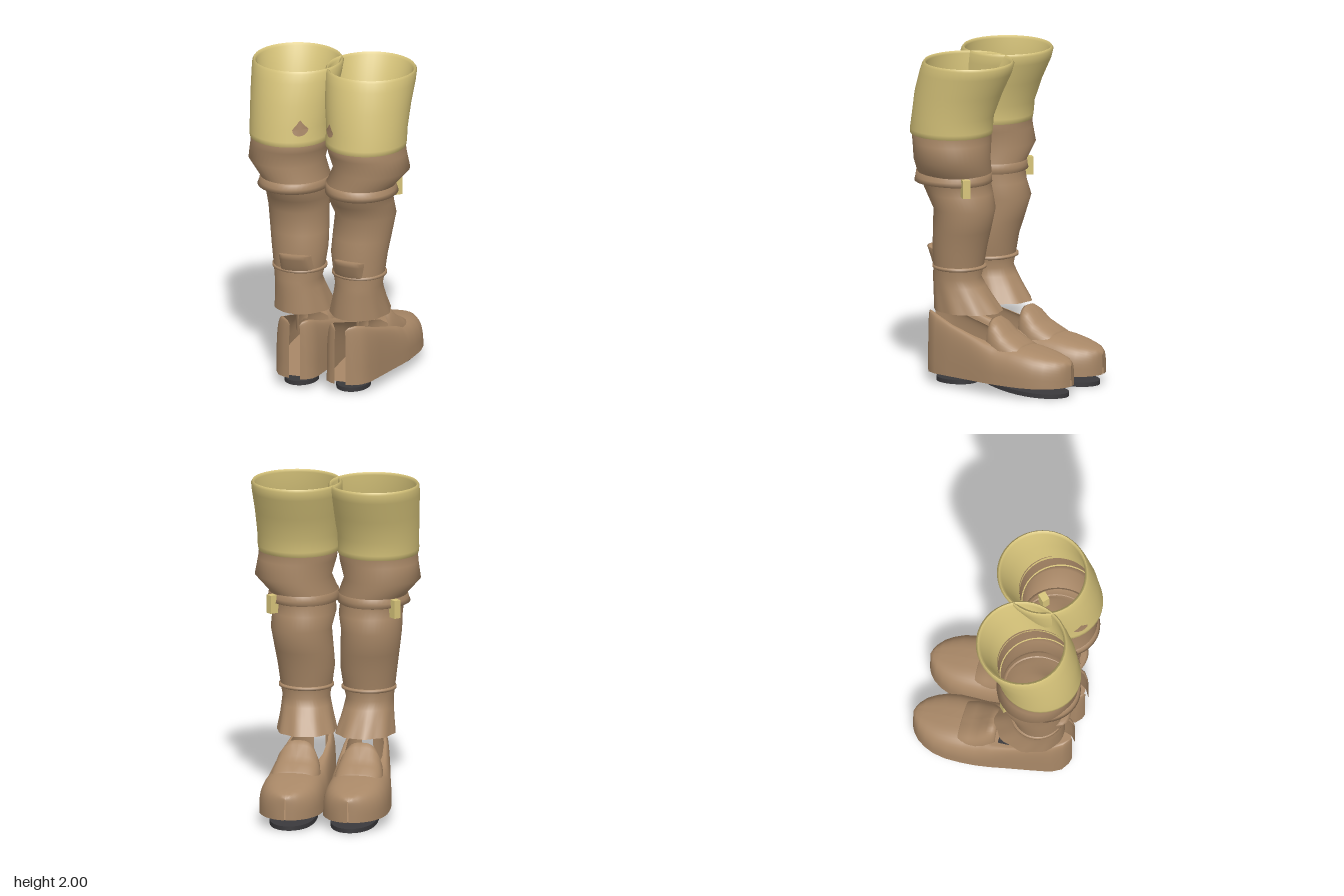
import * as THREE from 'three';

const mat = (name, color) => {
  const m = new THREE.MeshStandardMaterial({ color, side: THREE.DoubleSide });
  m.name = name;
  return m;
};

// Surface through rows of [x, y, z] points; closed joins each row's ends
function loft(rows, closed) {
  const n = rows[0].length, index = [];
  const cols = closed ? n : n - 1;
  for (let r = 0; r < rows.length - 1; r++) {
    for (let c = 0; c < cols; c++) {
      const a = r * n + c, b = r * n + (c + 1) % n;
      index.push(a, b, a + n, b, b + n, a + n);
    }
  }
  const g = new THREE.BufferGeometry();
  g.setAttribute('position', new THREE.Float32BufferAttribute(rows.flat(2), 3));
  g.setIndex(index);
  g.computeVertexNormals();
  return g;
}

// Sleeve sections: [y, inner x, outer x, back z, front z], top to bottom
const LEG = [
  [1.72, .02, .465, .02, .485], [1.55, .005, .478, .035, .515], [1.5, .012, .483, .033, .505],
  [1.4, .04, .5, .025, .485], [1.31, .005, .42, .045, .5], [1.24, .015, .395, .05, .475],
  [1.18, .01, .392, .04, .445], [1.09, .03, .395, .015, .39], [.95, .022, .375, .055, .4],
  [.85, .018, .36, .085, .41], [.73, .035, .345, .105, .405], [.66, .05, .335, .12, .41],
  [.61, .04, .338, .09, .41], [.55, .025, .343, .05, .41], [.46, 0, .355, -.015, .41],
];
const CUFF = [
  [2, -.03, .498, -.1, .43], [1.985, -.04, .507, -.112, .44], [1.93, -.035, .505, -.097, .46],
  [1.8, -.02, .495, -.035, .495], [1.66, 0, .487, .018, .512], [1.58, 0, .486, .025, .525],
  [1.55, 0, .482, .03, .525], [1.55, .012, .47, .042, .513],
];
const CUFF_LINING = [
  [2, -.03, .498, -.1, .43], [1.985, -.016, .482, -.086, .415], [1.85, 0, .47, -.03, .45],
  [1.69, .02, .462, .025, .482],
];
const KNEE_STRAP = [
  [1.315, .015, .405, .06, .49], [1.305, 0, .417, .043, .51], [1.275, 0, .422, .042, .513],
  [1.25, -.002, .432, .04, .517], [1.24, .02, .39, .06, .47],
];
const ANKLE_CORD = [
  [.738, .035, .345, .105, .4], [.732, .025, .355, .088, .412], [.72, .025, .355, .088, .412],
  [.714, .035, .345, .105, .4],
];

const ring = ([y, x0, x1, z0, z1], s, seg = 44) => Array.from({ length: seg }, (_, i) => {
  const a = i / seg * Math.PI * 2;
  // soft folds that deepen toward the hem
  const k = 1 + Math.max(0, .66 - y) * .15 * Math.cos(a * 9);
  return [s * ((x0 + x1) / 2 + (x1 - x0) / 2 * k * Math.cos(a)), y,
    (z0 + z1) / 2 + (z1 - z0) / 2 * (Math.sin(a) > 0 ? 1 : k) * Math.sin(a)];
});
const sleeve = (sections, s) => loft(sections.map(q => ring(q, s)), true);

// Front z of a sleeve at a given x and y
function frontZ(sections, x, y) {
  let i = 0;
  while (i < sections.length - 2 && sections[i + 1][0] > y) i++;
  const a = sections[i], b = sections[i + 1];
  const t = (y - a[0]) / (b[0] - a[0] || 1);
  const [, x0, x1, z0, z1] = a.map((v, j) => v + (b[j] - v) * t);
  const u = Math.min(1, Math.abs(x - (x0 + x1) / 2) / ((x1 - x0) / 2));
  return (z0 + z1) / 2 + (z1 - z0) / 2 * Math.sqrt(1 - u * u);
}

// Shoe sections: [z, centre x, half width, top y, half opening]
const SHOE = [
  [.46, .145, .035, .41, .03], [.45, .148, .07, .43, .045], [.42, .155, .11, .437, .07],
  [.36, .163, .135, .42, .09], [.25, .17, .15, .38, .11], [.1, .18, .168, .335, .115],
  [0, .188, .18, .305, .1], [-.06, .19, .187, .3, .06], [-.1, .192, .19, .3, 0],
  [-.18, .194, .193, .295, 0], [-.27, .194, .193, .282, 0], [-.35, .193, .18, .265, 0],
  [-.41, .192, .155, .25, 0], [-.46, .191, .122, .238, 0], [-.495, .19, .08, .225, 0],
  [-.512, .19, .045, .212, 0], [-.52, .19, .004, .2, 0],
];
const SADDLE = [
  [-.225, .193, .125, .28, 0], [-.215, .193, .145, .3, 0], [-.15, .192, .15, .335, 0],
  [-.1, .19, .148, .365, 0], [-.05, .19, .138, .42, 0], [-.015, .19, .12, .442, 0],
  [.005, .19, .11, .435, 0], [.01, .19, .1, .4, 0],
];

// One side of an arched section, from its foot up to the opening or crown
const arch = ([z, cx, w, h, o], s, side, base, pow) => Array.from({ length: 13 }, (_, i) => {
  const a = i / 12 * Math.PI / 2;
  const c = i === 12 ? 0 : Math.cos(a) ** pow;
  return [s * (cx + side * (o + (w - o) * c)), base + (h - base) * Math.sin(a) ** pow, z];
});

export function createModel() {
  const leather = mat('brown leather', 0xa98867);
  const trim = mat('pale gold cloth', 0xd8c57b);
  const rubber = mat('dark rubber', 0x3a393c);
  const model = new THREE.Group();
  model.name = 'pairOfBoots';

  for (const s of [1, -1]) {
    const boot = new THREE.Group();
    boot.name = s > 0 ? 'leftBoot' : 'rightBoot';
    model.add(boot);
    const add = (name, geometry, material) => {
      const m = new THREE.Mesh(geometry, material);
      m.name = name;
      boot.add(m);
      return m;
    };

    // Leg, cuff and bands
    add('leg', sleeve(LEG, s), leather);
    add('cuff', sleeve(CUFF, s), trim);
    add('cuffLining', sleeve(CUFF_LINING, s), trim);
    add('kneeStrap', sleeve(KNEE_STRAP, s), leather);
    add('ankleCord', sleeve(ANKLE_CORD, s), leather);

    // Tab hanging from the strap, pointing outward and back
    const tab = add('strapTab', new THREE.BoxGeometry(.11, .11, .045), trim);
    tab.position.set(s * .352, 1.245, .122);
    tab.rotation.y = s * Math.PI / 4;

    // Small flap above the ankle, flaring out at its top edge
    const flap = [[.725, 0], [.76, .018], [.81, .035], [.837, .044], [.842, .03], [.835, -.01]];
    add('ankleFlap', loft(flap.map(([y, off]) => Array.from({ length: 13 }, (_, i) => {
      const u = i / 6 - 1;
      const x = .165 + u * .1 + (y - .78) * .15;
      return [s * x, y - .015 * u ** 4, frontZ(LEG, x, y) + off * (1 - u ** 8) - .004 * u ** 8];
    })), false), leather);

    // Drop-shaped leather spot on the cuff
    const size = s > 0 ? .033 : .041, sx = s > 0 ? .073 : .105;
    const spot = new THREE.CircleGeometry(size, 20);
    const p = spot.attributes.position;
    for (let i = 0; i < p.count; i++) {
      const up = Math.max(0, p.getY(i) / size);
      const x = s * sx + p.getX(i) * (1 - .6 * up), y = 1.66 + p.getY(i) * (1 + .4 * up ** 4);
      p.setXYZ(i, x, y, frontZ(CUFF, Math.abs(x), y) + .008);
    }
    spot.computeVertexNormals();
    add('cuffSpot', spot, leather);

    // Shoe shell in two halves, leaving the heel slit open
    for (const side of [1, -1]) {
      const name = side > 0 ? 'Outer' : 'Inner';
      add('shoe' + name, loft(SHOE.map(q => arch(q, s, side, .07, .62)), false), leather);
      add('saddle' + name, loft(SADDLE.map(q => arch(q, s, side, .2, .7)), false), leather);
    }
    add('insole', loft(SHOE.slice(2).map(([z, cx, w]) =>
      [-1, 0, 1].map(k => [s * (cx + k * w), .074, z])), false), leather);

    // Curved forefoot sole and flat heel pad
    const sole = new THREE.CylinderGeometry(1, 1, .026, 40).scale(.15, 1, .3);
    const q = sole.attributes.position;
    for (let i = 0; i < q.count; i++) {
      const t = (q.getZ(i) + .3) / .6;
      q.setY(i, q.getY(i) + .013 + .065 * t * t);
      q.setX(i, q.getX(i) * (1.05 - .25 * t));
    }
    sole.computeVertexNormals();
    add('forefootSole', sole, rubber).position.set(s * .185, 0, -.19);
    add('heelPad', new THREE.CylinderGeometry(1, 1, .026, 32).scale(.1, 1, .128), rubber)
      .position.set(s * .165, .023, .283);
  }
  return model;
}
